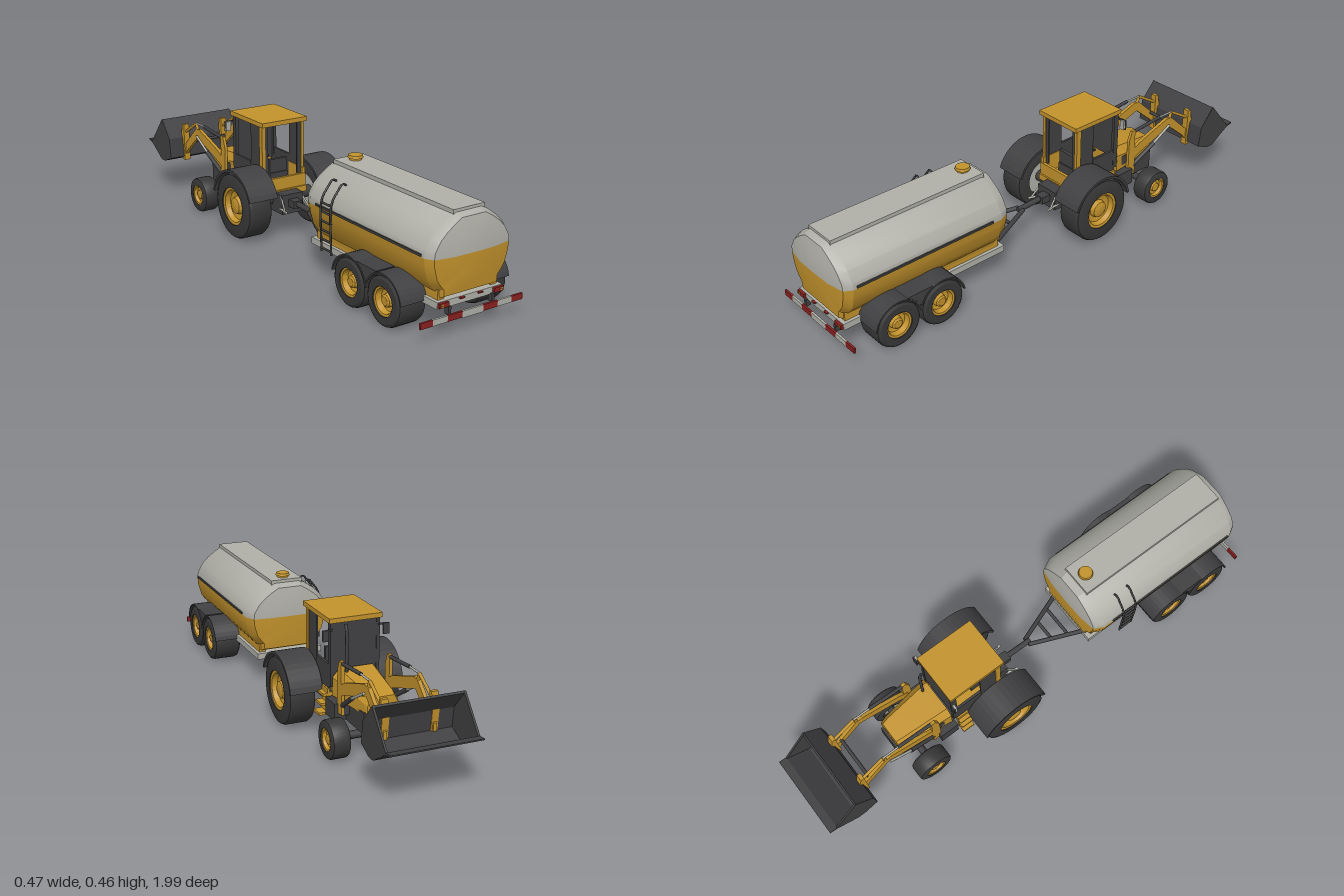
import * as THREE from 'three';
import { toCreasedNormals } from 'three/addons/utils/BufferGeometryUtils.js';

const mat = (name, color) => { const m = new THREE.MeshStandardMaterial({ color }); m.name = name; return m; };

export function createModel() {
  const yellow = mat('yellow paint', 0xc2922c), grey = mat('light grey', 0xb0b0a8), rubber = mat('rubber', 0x383838),
    dark = mat('dark metal', 0x404042), red = mat('red', 0x8a2020);
  const root = new THREE.Group();
  root.name = 'tractorWithTanker';
  const tanker = new THREE.Group(), tractor = new THREE.Group();
  tanker.name = 'tanker'; tractor.name = 'tractor';
  root.add(tanker, tractor);
  let target = tanker;

  const add = (name, geo, m) => {
    const mesh = new THREE.Mesh(geo, m);
    mesh.name = name;
    target.add(mesh);
    return mesh;
  };
  // box given by its limits on each axis
  const box = (name, m, x0, x1, y0, y1, z0, z1) => add(name,
    new THREE.BoxGeometry(x1 - x0, y1 - y0, z1 - z0).translate((x0 + x1) / 2, (y0 + y1) / 2, (z0 + z1) / 2), m);
  // same box on both sides
  const boxes = (name, m, x0, x1, ...r) => { box(name, m, x0, x1, ...r); box(name, m, -x1, -x0, ...r); };
  const rod = (name, m, a, b, r) => {
    const p = new THREE.Vector3(...a), q = new THREE.Vector3(...b), d = q.clone().sub(p);
    const mesh = add(name, new THREE.CylinderGeometry(r, r, d.length(), 10), m);
    mesh.position.copy(p).add(q).multiplyScalar(0.5);
    mesh.quaternion.setFromUnitVectors(new THREE.Vector3(0, 1, 0), d.normalize());
  };
  // outline of [z, y] points, extruded from x0 to x1
  const plate = (name, m, pts, x0, x1) => add(name, new THREE.ExtrudeGeometry(
    new THREE.Shape(pts.map(([z, y]) => new THREE.Vector2(-z, y))),
    { depth: x1 - x0, bevelEnabled: false }).rotateY(Math.PI / 2).translate(x0, 0, 0), m);
  const plates = (name, m, pts, x0, x1) => { plate(name, m, pts, x0, x1); plate(name, m, pts, -x1, -x0); };
  // curved band; degrees run from the tractor end (0) over the top (90)
  const band = (z, y, r0, r1, a0, a1) => {
    const out = [], inn = [];
    for (let i = 0; i <= 16; i++) {
      const a = (a0 + (a1 - a0) * i / 16) * Math.PI / 180;
      out.push([z - r1 * Math.cos(a), y + r1 * Math.sin(a)]);
      inn.unshift([z - r0 * Math.cos(a), y + r0 * Math.sin(a)]);
    }
    return out.concat(inn);
  };
  // skin across rows of [x, y, z] points
  const loft = (name, m, rows) => {
    const n = rows[0].length, idx = [];
    for (let i = 0; i < rows.length - 1; i++) for (let j = 0; j < n - 1; j++) {
      const a = i * n + j, b = a + 1, c = b + n, d = a + n;
      idx.push(a, b, c, a, c, d);
    }
    const g = new THREE.BufferGeometry();
    g.setAttribute('position', new THREE.Float32BufferAttribute(rows.flat(2), 3));
    g.setIndex(idx);
    return add(name, toCreasedNormals(g, 0.5), m);
  };
  // wheel pair: tyre, dished outer rim, plain inner disc
  const wheels = (name, x, y, z, r, w, R) => {
    const V = (a, b) => new THREE.Vector2(a, b * w);
    const tyre = [V(R, -.5), V(r * .86, -.5), V(r * .96, -.45), V(r, -.36), V(r, .36), V(r * .96, .45), V(r * .86, .5), V(R, .5), V(R, -.5)];
    const rim = [V(R, .46), V(R * .86, .44), V(R * .76, .26), V(R * .48, .22), V(R * .42, .38), V(R * .3, .42), V(0, .42)];
    for (const s of [1, -1]) {
      for (const [part, pts, m] of [['Tyre', tyre, rubber], ['Rim', rim, yellow], ['InnerDisc', [V(0, -.3), V(R, -.3)], grey]]) {
        const mesh = add(name + part, toCreasedNormals(new THREE.LatheGeometry(pts, 36), 0.5), m);
        mesh.rotation.z = -s * Math.PI / 2;
        mesh.position.set(s * x, y, z);
      }
    }
  };

  // ---- Tanker: two-colour tank with domed ends ----
  const mid = 0.275;
  const up = [[.176, mid], [.174, .3], [.15, .34], [.122, .367], [.09, .39], [.055, .411]];
  const low = [[.176, mid], [.174, .245], [.16, .194], [.145, .172], [.128, .153], [.126, .124]];
  const flip = a => a.map(([x, y]) => [-x, y]).reverse();
  const upper = [...up, ...flip(up)], lower = [...flip(low).reverse(), ...low.slice().reverse()];
  const ends = [[.247, 0], [.249, .5], [.258, .88], [.3, 1], [.945, 1], [.975, .9], [.988, .5], [.99, 0]];
  const tankRows = prof => ends.map(([z, s]) => prof.map(([x, y]) => [x * s, mid + (y - mid) * s, z]));
  loft('tankUpper', grey, tankRows(upper));
  loft('tankLower', yellow, tankRows(lower));
  box('walkway', grey, -.066, .066, .385, .419, .29, .95);
  boxes('sideRail', dark, .174, .181, .278, .286, .34, .93);
  add('hatchNeck', new THREE.CylinderGeometry(.023, .023, .025, 24).translate(0, .422, .335), yellow);
  add('hatchLid', new THREE.CylinderGeometry(.026, .029, .01, 24).translate(0, .432, .335), yellow);
  box('chassis', grey, -.14, .14, .1, .125, .26, .975);
  boxes('tankSkid', yellow, .1, .127, .124, .16, .28, .96);

  // running gear
  for (const z of [.62, .81]) {
    wheels('tanker', .177, .091, z, .091, .115, .052);
    box('tankerAxle', dark, -.13, .13, .075, .1, z - .015, z + .015);
    boxes('axleBracket', dark, .07, .1, .06, .102, z - .035, z + .035);
    plates('tankerFender', dark, band(z, .091, .094, .1, 10, 170), .122, .235);
  }
  plates('fenderInfill', dark, [[.66, .185], [.77, .185], [.715, .13]], .122, .232);

  // rear bar, lamps
  const cuts = [-.22, -.17, -.108, -.045, .045, .108, .17, .22];
  for (let i = 0; i < 7; i++) box('warningBar', i % 2 ? grey : red, cuts[i], cuts[i + 1], i === 3 ? .054 : .057, .079, .984, .992);
  boxes('barBracket', dark, .088, .1, .075, .104, .965, .984);
  boxes('rearLamp', red, .098, .138, .106, .123, .972, .985);
  for (const y of [.109, .116]) boxes('lampLens', yellow, .122, .132, y, y + .004, .984, .987);
  boxes('marker', red, .03, .048, .119, .124, .972, .984);

  // drawbar
  for (const s of [1, -1]) rod('drawbarArm', dark, [s * .095, .112, .27], [s * .012, .132, .055], .009);
  rod('drawbarBrace', dark, [-.07, .117, .21], [.07, .117, .21], .007);
  rod('drawbarBrace', dark, [-.047, .122, .145], [.047, .122, .145], .007);
  rod('drawbarTongue', dark, [0, .132, .07], [0, .138, -.07], .011);

  // ladder on one side
  for (const z of [.385, .445]) {
    const path = new THREE.CatmullRomCurve3([[-.182, .12], [-.185, .3], [-.175, .33], [-.157, .355], [-.135, .38], [-.12, .372]]
      .map(([x, y]) => new THREE.Vector3(x, y, z)));
    add('ladderRail', new THREE.TubeGeometry(path, 24, .004, 8), dark);
  }
  for (let i = 0; i < 6; i++) rod('ladderRung', dark, [-.184, .135 + i * .034, .385], [-.184, .135 + i * .034, .445], .004);

  // ---- Tractor ----
  target = tractor;
  wheels('rear', .172, .134, -.17, .132, .108, .076);
  wheels('front', .149, .072, -.53, .072, .07, .042);
  rod('rearAxle', dark, [-.14, .134, -.17], [.14, .134, -.17], .025);
  rod('frontAxle', dark, [-.13, .075, -.53], [.13, .075, -.53], .015);
  plates('rearFender', dark, band(-.17, .134, .138, .148, 12, 160), .1, .228);
  box('transmission', dark, -.05, .05, .09, .16, -.42, -.08);
  box('engine', dark, -.07, .07, .1, .18, -.6, -.36);
  box('frontWeight', dark, -.055, .055, .1, .165, -.615, -.58);
  boxes('fuelTank', dark, .07, .115, .1, .165, -.45, -.37);

  // bonnet
  const bonnet = (z, w, top, s = 1) => [[w, .17], [w, top - .03], [w * .72, top], [-w * .72, top], [-w, top - .03], [-w, .17], [w, .17]]
    .map(([x, y]) => [x * s, .21 + (y - .21) * s, z]);
  loft('bonnet', yellow, [bonnet(-.608, .06, .235, 0), bonnet(-.606, .06, .235), bonnet(-.58, .067, .243), bonnet(-.38, .092, .27), bonnet(-.38, .092, .27, 0)]);
  boxes('bonnetVent', dark, .085, .088, .185, .225, -.44, -.4);
  rod('exhaust', dark, [.05, .25, -.41], [.05, .42, -.41], .006);
  rod('exhaustTip', dark, [.05, .415, -.41], [.05, .442, -.4], .006);

  // cab
  box('cabFloor', yellow, -.1, .1, .15, .175, -.36, -.13);
  boxes('cabSide', yellow, .085, .1, .17, .25, -.24, -.14);
  box('cabBack', yellow, -.1, .1, .17, .225, -.15, -.137);
  boxes('door', dark, .086, .096, .175, .282, -.36, -.24);
  boxes('sideWindow', dark, .088, .094, .25, .44, -.24, -.165);
  box('windscreen', dark, -.09, .09, .24, .44, -.372, -.365);
  boxes('frontPillar', dark, .084, .097, .2, .44, -.374, -.352);
  boxes('rearPillar', yellow, .084, .098, .22, .442, -.17, -.148);
  boxes('rearWindowFrame', dark, .068, .085, .225, .44, -.158, -.152);
  box('roof', yellow, -.104, .104, .442, .46, -.38, -.135);
  box('seat', dark, -.04, .04, .175, .235, -.25, -.18);
  box('seatBack', dark, -.04, .04, .235, .29, -.2, -.185);
  rod('steeringColumn', dark, [0, .175, -.34], [0, .265, -.31], .006);
  add('steeringWheel', new THREE.TorusGeometry(.026, .004, 8, 20).rotateX(1.2).translate(0, .267, -.31), dark);
  boxes('mirror', grey, .109, .129, .38, .418, -.378, -.37);
  boxes('mirrorBack', dark, .107, .131, .378, .42, -.384, -.378);
  boxes('mirrorArm', dark, .09, .112, .414, .42, -.38, -.374);
  for (let i = 0; i < 3; i++) boxes('step', yellow, .095, .135 - i * .008, .09 + i * .036, .1 + i * .036, -.36, -.31);
  boxes('stepSide', yellow, .095, .103, .09, .19, -.36, -.31);

  // rear hitch
  box('hitchBlock', dark, -.05, .05, .11, .17, -.13, -.08);
  box('hitchJaw', dark, -.02, .02, .12, .15, -.08, -.04);
  for (const s of [1, -1]) {
    rod('liftLink', grey, [s * .045, .11, -.1], [s * .06, .115, -.035], .005);
    rod('liftRod', grey, [s * .045, .17, -.1], [s * .057, .115, -.05], .004);
  }

  // ---- Front loader ----
  plates('loaderPost', yellow, [[-.44, .13], [-.44, .29], [-.455, .33], [-.472, .33], [-.478, .13]], .088, .1);
  boxes('postMount', dark, .05, .09, .13, .17, -.48, -.44);
  plates('loaderArm', yellow, [[-.455, .235], [-.5, .262], [-.66, .315], [-.69, .31], [-.81, .2], [-.81, .17], [-.79, .17],
    [-.765, .2], [-.675, .275], [-.5, .215], [-.455, .195]], .086, .1);
  for (const s of [1, -1]) {
    const x = s * .093;
    rod('liftCylinder', dark, [x, .165, -.47], [s * .106, .235, -.58], .009);
    rod('liftPiston', grey, [s * .106, .235, -.58], [s * .106, .285, -.67], .005);
    rod('tiltCylinder', dark, [x, .322, -.47], [x, .335, -.62], .007);
    rod('tiltPiston', grey, [x, .335, -.62], [x, .335, -.69], .004);
    rod('tiltLink', yellow, [x, .335, -.69], [x, .27, -.8], .006);
    rod('tiltStrut', yellow, [x, .335, -.69], [x, .3, -.68], .007);
  }
  plates('bucketBracket', yellow, [[-.782, .15], [-.785, .31], [-.8, .31], [-.812, .25], [-.8, .15]], .08, .106);
  rod('loaderCrossTube', dark, [-.09, .235, -.765], [.09, .235, -.765], .007);

  // bucket: bent shell plus end plates
  plate('bucketShell', dark, [[-.865, .325], [-.8, .25], [-.79, .165], [-.85, .14], [-.88, .14], [-.97, .195], [-1, .202],
    [-1, .207], [-.968, .204], [-.878, .149], [-.852, .149], [-.8, .171], [-.809, .247], [-.872, .319]], -.17, .17);
  plates('bucketEnd', dark, [[-.867, .325], [-.8, .25], [-.79, .165], [-.85, .14], [-.88, .14], [-.972, .2], [-.93, .25]], .163, .171);
  return root;
}
